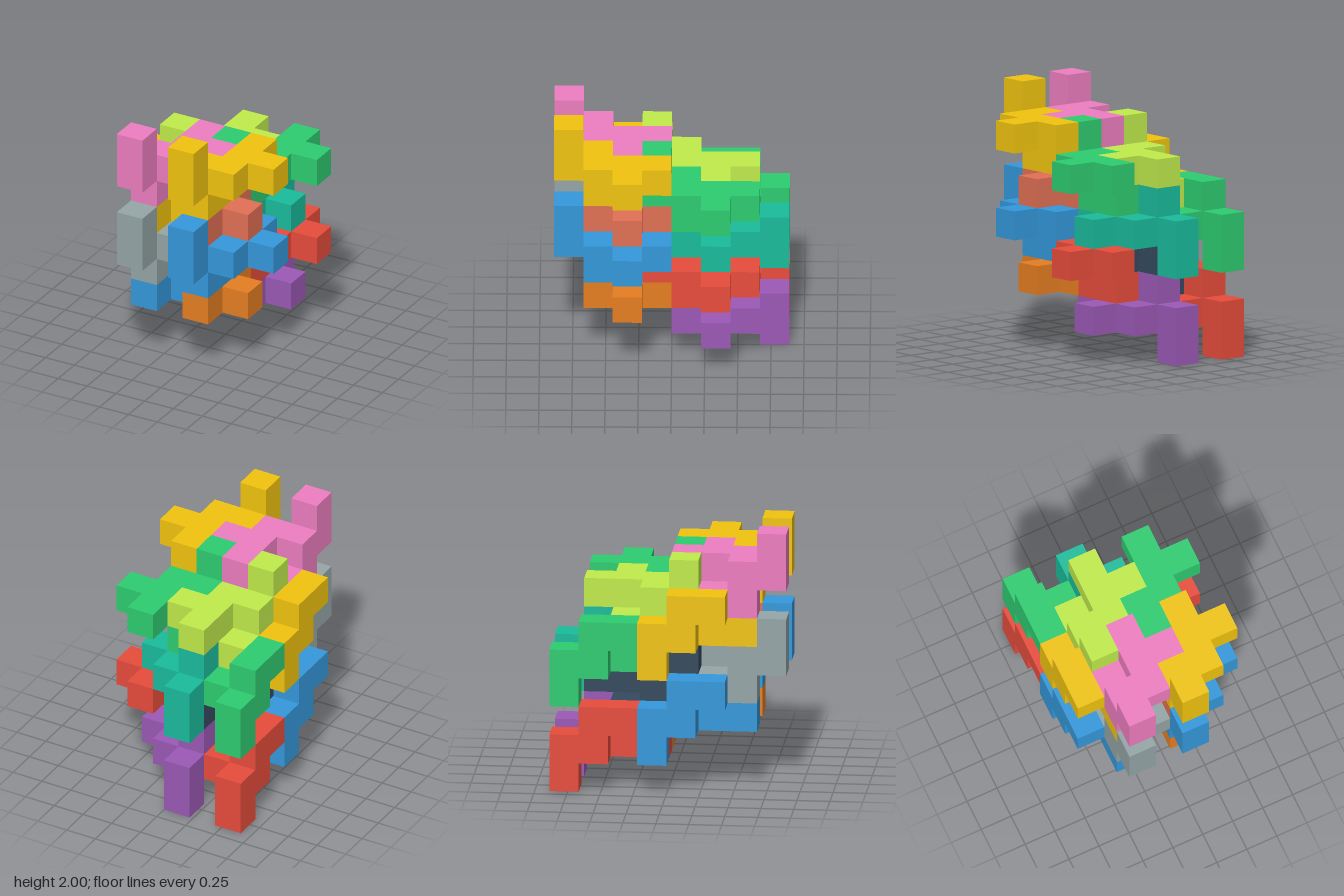
import * as THREE from 'three';
import { mergeGeometries } from 'three/addons/utils/BufferGeometryUtils.js';

const S = 2 / 9; // edge of one cube

// One nine-cube puzzle piece, as cell coordinates (x, y, z)
const PIECE = [
  [3, 8, 7], [3, 7, 7], [3, 7, 6], [4, 7, 6], [4, 7, 5],
  [5, 7, 5], [4, 7, 4], [3, 6, 6], [3, 6, 5],
];

// The same piece turned half a revolution about the x axis
const TURNED = PIECE.map(([x, y, z]) => [x - 1, 11 - y, 7 - z]);

// Six directions: cell step, then rotation about x and y of a face looking along +z
const H = Math.PI / 2;
const SIDES = [
  [[0, 0, 1], 0, 0], [[0, 0, -1], 0, 2 * H],
  [[1, 0, 0], 0, H], [[-1, 0, 0], 0, -H],
  [[0, 1, 0], -H, 0], [[0, -1, 0], H, 0],
];

// Outer skin of a group of cells: a square wherever a cell has no neighbour
function skin(cells) {
  const filled = new Set(cells.map(String));
  const faces = [];
  for (const [x, y, z] of cells) {
    for (const [[dx, dy, dz], rx, ry] of SIDES) {
      if (filled.has(String([x + dx, y + dy, z + dz]))) continue;
      faces.push(new THREE.PlaneGeometry(S, S)
        .translate(0, 0, S / 2)
        .rotateX(rx)
        .rotateY(ry)
        .translate((x - 2.5) * S, (y + 0.5) * S, (z - 3.5) * S));
    }
  }
  return mergeGeometries(faces);
}

// Name, colour and cell offset of each piece
const UPRIGHT = [
  ['topFrontLeft', 0xf1c40f, [0, 0, 0]],
  ['topFrontRight', 0xee7dc0, [-2, 0, 0]],
  ['topBackLeft', 0x2ecc71, [0, -1, -3]],
  ['topBackRight', 0xc0eb4b, [-2, -1, -3]],
  ['lowerFrontLeft', 0x3498db, [0, -3, 0]],
  ['lowerFrontRight', 0x95a5a6, [-2, -3, 0]],
  ['lowerBackLeft', 0xe74c3c, [0, -4, -3]],
  ['lowerBackRight', 0x34495e, [-2, -4, -3]],
];
const INVERTED = [
  ['upperFrontLeft', 0xe17055, [0, 1, 3]],
  ['upperFrontRight', 0xf1c40f, [-2, 1, 3]],
  ['upperBackLeft', 0x1abc9c, [0, 0, 0]],
  ['upperBackRight', 0x2ecc71, [-2, 0, 0]],
  ['bottomFrontLeft', 0xe67e22, [0, -2, 3]],
  ['bottomFrontRight', 0x3498db, [-2, -2, 3]],
  ['bottomBackLeft', 0x9b59b6, [0, -3, 0]],
  ['bottomBackRight', 0xe74c3c, [-2, -3, 0]],
];

export function createModel() {
  const model = new THREE.Group();
  model.name = 'interlockingCubePieces';

  const addPieces = (list, cells, suffix) => {
    for (const [name, color, offset] of list) {
      const placed = cells.map((c) => c.map((v, i) => v + offset[i]));
      const mesh = new THREE.Mesh(skin(placed), new THREE.MeshStandardMaterial({ color }));
      mesh.name = name + suffix;
      model.add(mesh);
    }
  };
  addPieces(UPRIGHT, PIECE, 'UprightPiece');
  addPieces(INVERTED, TURNED, 'TurnedPiece');
  return model;
}
